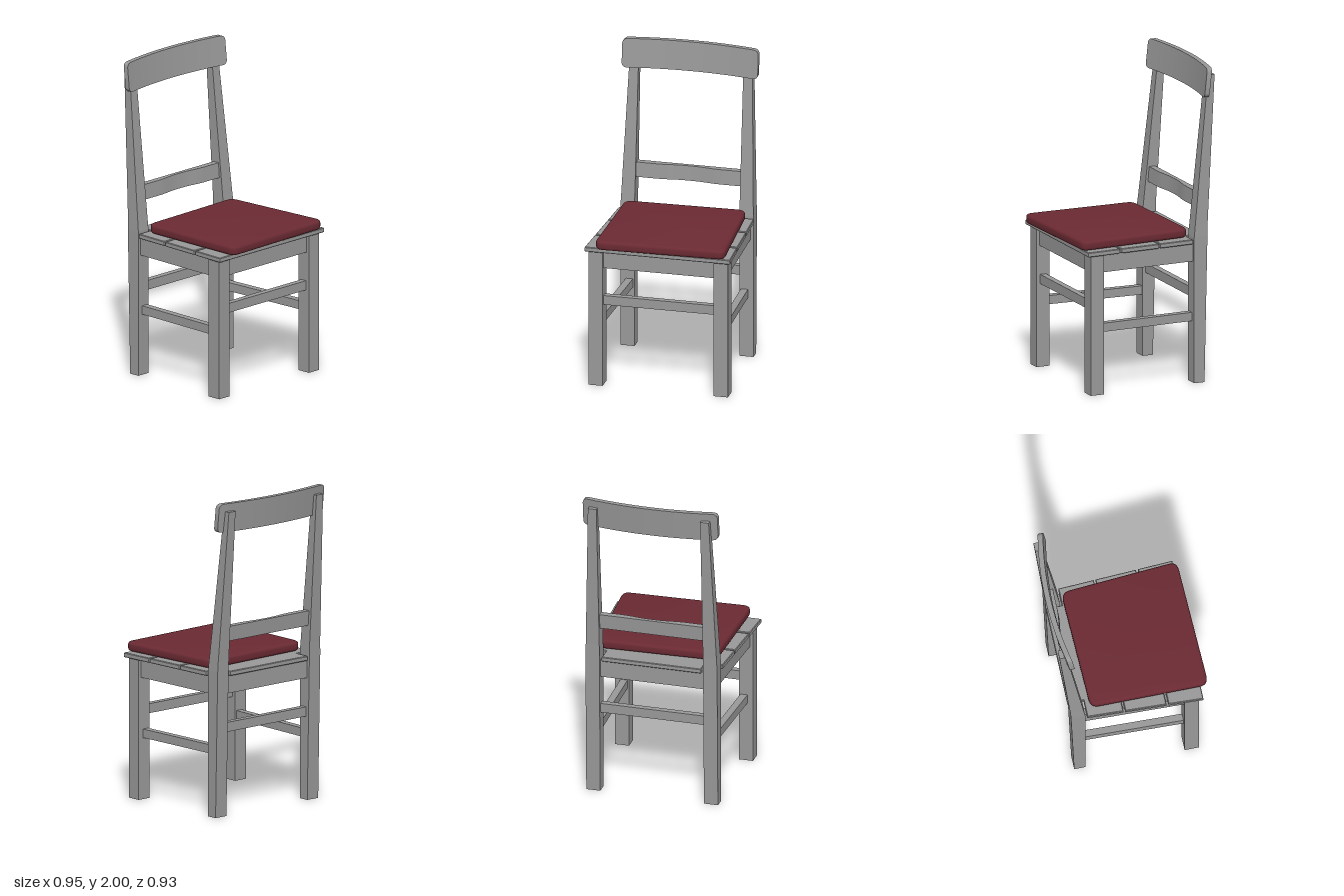
import * as THREE from 'three';
import { toCreasedNormals } from 'three/addons/utils/BufferGeometryUtils.js';

export function createModel() {
  const chair = new THREE.Group();
  chair.name = 'chair';
  const wood = new THREE.MeshStandardMaterial({ name: 'grey wood', color: 0x999999 });
  const fabric = new THREE.MeshStandardMaterial({ name: 'dark red fabric', color: 0x6b2a33 });

  function add(name, geometry, material = wood) {
    const mesh = new THREE.Mesh(geometry, material);
    mesh.name = name;
    chair.add(mesh);
    return mesh;
  }

  // Box given by its limits
  function block(name, x0, x1, y0, y1, z0, z1) {
    const g = new THREE.BoxGeometry(x1 - x0, y1 - y0, z1 - z0);
    g.translate((x0 + x1) / 2, (y0 + y1) / 2, (z0 + z1) / 2);
    return add(name, g);
  }

  // Flat plate from a plan outline of [x, z] points, with optional edge rounding
  function plate(name, pts, y0, y1, bevel = 0, radius = 0, material = wood) {
    const p = pts.map(([x, z]) => new THREE.Vector2(x, -z));
    const shape = new THREE.Shape();
    p.forEach((c, i) => {
      const prev = p[(i + p.length - 1) % p.length], next = p[(i + 1) % p.length];
      const a = c.clone().add(prev.clone().sub(c).setLength(radius));
      const b = c.clone().add(next.clone().sub(c).setLength(radius));
      if (i === 0) shape.moveTo(a.x, a.y); else shape.lineTo(a.x, a.y);
      if (radius > 0) shape.quadraticCurveTo(c.x, c.y, b.x, b.y);
    });
    shape.closePath();
    let g = new THREE.ExtrudeGeometry(shape, {
      depth: y1 - y0 - 2 * bevel, curveSegments: 8, bevelEnabled: bevel > 0,
      bevelThickness: bevel, bevelSize: bevel, bevelOffset: -bevel, bevelSegments: radius > 0 ? 4 : 1,
    });
    g.rotateX(-Math.PI / 2).translate(0, y0 + bevel, 0);
    if (radius > 0) g = toCreasedNormals(g, 0.7);
    return add(name, g, material);
  }

  // Four-sided post through rows of [y, x0, x1, z0, z1]
  function post(name, rows) {
    const n = rows.length - 1;
    let g = new THREE.BoxGeometry(1, 1, 1, 1, n, 1);
    const pos = g.attributes.position;
    for (let i = 0; i < pos.count; i++) {
      const [y, x0, x1, z0, z1] = rows[Math.round((pos.getY(i) + 0.5) * n)];
      pos.setXYZ(i, pos.getX(i) < 0 ? x0 : x1, y, pos.getZ(i) < 0 ? z0 : z1);
    }
    g = g.toNonIndexed();
    g.computeVertexNormals();
    return add(name, g);
  }

  // Legs and side rails, mirrored across z
  const rearRows = [
    [0, -0.38, -0.31, 0.335, 0.425],
    [0.93, -0.4, -0.31, 0.335, 0.425],
    [1.0, -0.402, -0.318, 0.335, 0.422],
    [1.95, -0.465, -0.42, 0.335, 0.39],
  ];
  for (const s of [1, -1]) {
    const [a, b] = s > 0 ? [0.355, 0.445] : [-0.445, -0.355];
    block('frontLeg', 0.315, 0.405, 0, 0.892, a, b);
    post('rearLeg', rearRows.map(([y, x0, x1, z0, z1]) =>
      (s > 0 ? [y, x0, x1, z0, z1] : [y, x0, x1, -z1, -z0])));
    const strip = (inner, outer) => [
      [-0.315, s * inner], [0.32, s * (inner + 0.02)], [0.32, s * (outer + 0.02)], [-0.315, s * outer]];
    plate('sideApron', strip(0.36, 0.405), 0.775, 0.892);
    plate('sideStretcher', strip(0.345, 0.39), 0.39, 0.445);
  }

  // Front and rear rails under the seat
  block('frontApron', 0.34, 0.385, 0.775, 0.892, -0.36, 0.36);
  block('rearApron', -0.375, -0.33, 0.775, 0.892, -0.34, 0.34);
  block('frontStretcher', 0.34, 0.38, 0.53, 0.59, -0.36, 0.36);
  block('rearStretcher', -0.37, -0.33, 0.53, 0.59, -0.34, 0.34);

  // Seat slats, the rear one notched around the back legs
  plate('rearSlat', [[-0.4, -0.32], [-0.298, -0.32], [-0.298, -0.432], [-0.072, -0.442],
    [-0.072, 0.442], [-0.298, 0.432], [-0.298, 0.32], [-0.4, 0.32]], 0.89, 0.92, 0.004);
  for (const [x0, x1, w0, w1] of [[-0.06, 0.198, 0.443, 0.454], [0.211, 0.43, 0.455, 0.465]]) {
    plate('seatSlat', [[x0, -w0], [x1, -w1], [x1, w1], [x0, w0]], 0.89, 0.92, 0.004);
  }

  // Cushion, lying slightly askew
  plate('cushion', [[-0.29, -0.385], [0.453, -0.435], [0.477, 0.39], [-0.268, 0.385]],
    0.924, 0.983, 0.018, 0.055, fabric);

  // Curved top rail with rounded ends, leaning back
  const top = new THREE.BoxGeometry(0.033, 1, 2, 1, 1, 40);
  const tp = top.attributes.position;
  const W = 0.435, H = 0.0925, R = 0.03;
  for (let i = 0; i < tp.count; i++) {
    const z = W * Math.sin(tp.getZ(i) * Math.PI / 2);
    const d = Math.max(0, Math.abs(z) - (W - R));
    const half = H - R + Math.sqrt(Math.max(0, R * R - d * d));
    const y = Math.sign(tp.getY(i)) * half;
    tp.setXYZ(i, tp.getX(i) - 0.447 + 0.24 * z * z - 0.11 * y, 1.9075 + y, z);
  }
  add('topRail', toCreasedNormals(top, 0.7));

  // Lower back rail: straight behind, hollowed in front
  const low = new THREE.BoxGeometry(1, 0.095, 0.68, 1, 1, 24);
  const lp = low.attributes.position;
  for (let i = 0; i < lp.count; i++) {
    const y = lp.getY(i);
    const hollow = 0.016 * (1 - THREE.MathUtils.smoothstep(Math.abs(lp.getZ(i)), 0.03, 0.2));
    const x = lp.getX(i) < 0 ? -0.392 : -0.35 - hollow;
    lp.setXYZ(i, x - 0.08 * y, 1.1575 + y, lp.getZ(i));
  }
  add('lowerBackRail', toCreasedNormals(low, 0.7));

  return chair;
}
